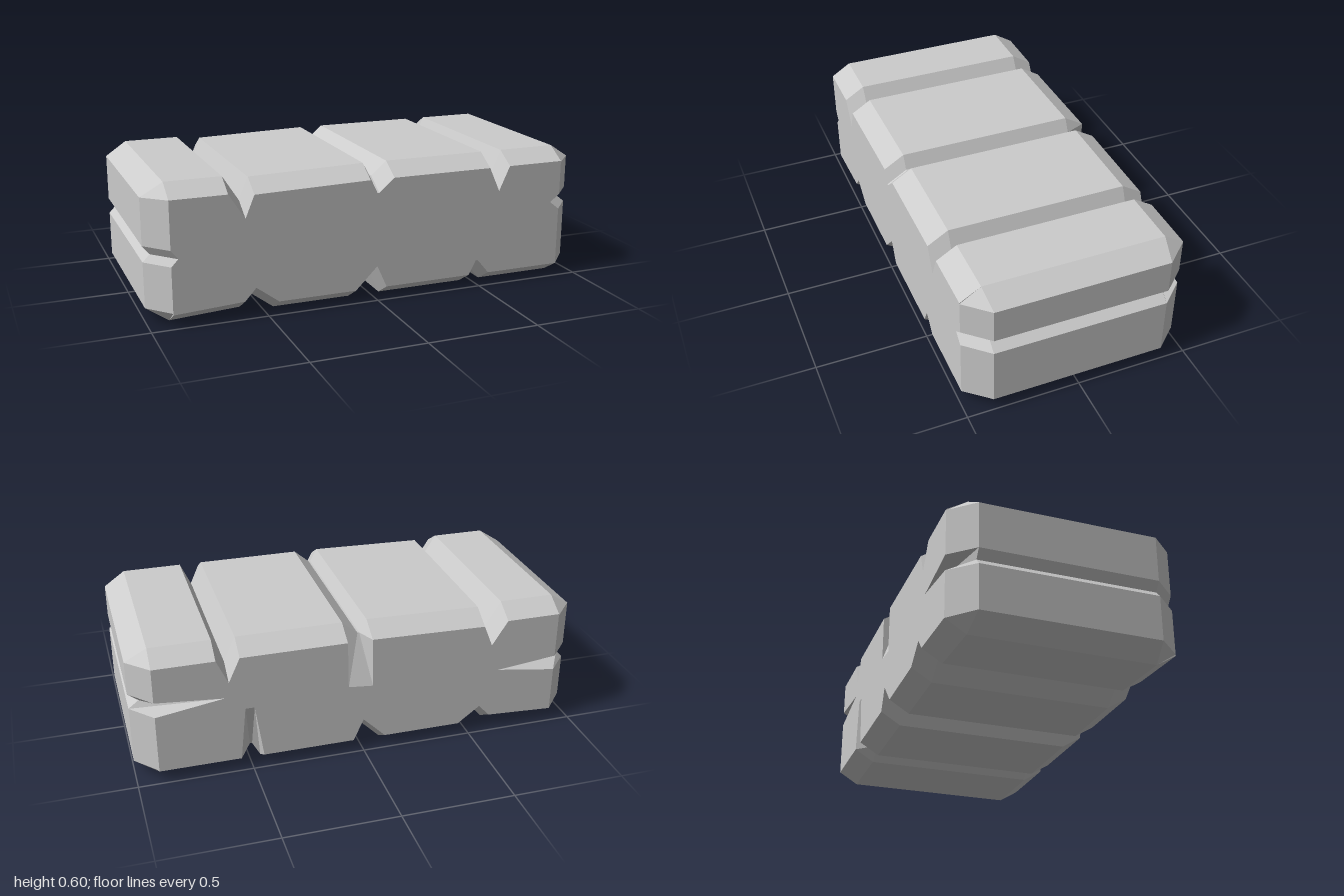
import * as THREE from 'three';

const TOP = 0.6, CUT_Y = 0.055, CUT_X = 0.095;

// Outline of the block, counter-clockwise: [x, y, side, backTip]
// side: b(ottom), r(ight), t(op), l(eft); backTip: where a groove runs on as a crack in the back
const outline = [
  [-0.905, 0.003, 'b'], [-0.6, 0.02, 'b'], [-0.55, 0.075, 'b'], [-0.45, 0, 'b'],
  [-0.1, 0, 'b'], [0, 0.1, 'b'], [0.045, 0, 'b'],
  [0.45, 0, 'b'], [0.485, 0.065, 'b', [0.485, 0.3]], [0.495, 0.065, 'b', [0.525, 0.3]], [0.55, 0, 'b'],
  [0.905, 0, 'b'],
  [1, 0.06, 'r'], [1, 0.32, 'r'], [0.955, 0.355, 'r', [0.61, 0.365]], [1, 0.39, 'r'], [1, 0.54, 'r'],
  [0.905, TOP, 't'], [0.64, TOP, 't'], [0.59, 0.49, 't'], [0.54, TOP, 't'],
  [0.075, TOP, 't'], [0.005, 0.54, 't', [0.07, 0.33]], [-0.003, 0.54, 't', [-0.04, 0.32]], [-0.035, TOP, 't'],
  [-0.55, 0.588, 't'], [-0.59, 0.49, 't'], [-0.66, TOP, 't'], [-0.905, TOP, 't'],
  [-1, 0.54, 'l'], [-1, 0.335, 'l'], [-0.97, 0.297, 'l', [-0.63, 0.305]], [-1, 0.265, 'l'], [-1, 0.065, 'l'],
];
const shift = { b: [0, CUT_Y], t: [0, -CUT_Y], r: [-CUT_X, 0], l: [CUT_X, 0] };

// Bevelled end section, pulled in by the chamfer
function endRing(z) {
  return outline.map(([x, y, side, tip]) => {
    if (z < 0 && tip) return [tip[0], tip[1], z];
    return [x + shift[side][0], y + shift[side][1], z];
  });
}

// Full-size section where the chamfer starts
function bodyRing(sign) {
  return outline.map(([x, y, side]) => [x, y, sign * (side === 'b' || side === 't' ? 0.4 : 0.385)]);
}

function blockGeometry() {
  const rings = [endRing(0.49), bodyRing(1), bodyRing(-1), endRing(-0.49)];
  const pos = [];
  const tri = (a, b, c) => pos.push(...a, ...b, ...c);
  // chamfers, outer faces and groove walls
  for (let k = 0; k < 3; k++) {
    const a = rings[k], b = rings[k + 1];
    for (let i = 0; i < a.length; i++) {
      const j = (i + 1) % a.length;
      tri(a[i], b[i], b[j]);
      tri(a[i], b[j], a[j]);
    }
  }
  // front and back faces
  for (const ring of [rings[0], rings[3]]) {
    const flat = ring.map(([x, y]) => new THREE.Vector2(x, y));
    for (const [p, q, r] of THREE.ShapeUtils.triangulateShape(flat, [])) {
      const area = (flat[q].x - flat[p].x) * (flat[r].y - flat[p].y) - (flat[q].y - flat[p].y) * (flat[r].x - flat[p].x);
      if ((area > 0) === (ring[0][2] > 0)) tri(ring[p], ring[q], ring[r]);
      else tri(ring[p], ring[r], ring[q]);
    }
  }
  const geo = new THREE.BufferGeometry();
  geo.setAttribute('position', new THREE.Float32BufferAttribute(pos, 3));
  geo.computeVertexNormals();
  return geo;
}

export function createModel() {
  const group = new THREE.Group();
  group.name = 'crackedStoneBlock';
  const block = new THREE.Mesh(
    blockGeometry(),
    new THREE.MeshStandardMaterial({ color: 0xcccccc, flatShading: true })
  );
  block.name = 'stoneBlock';
  group.add(block);
  return group;
}
